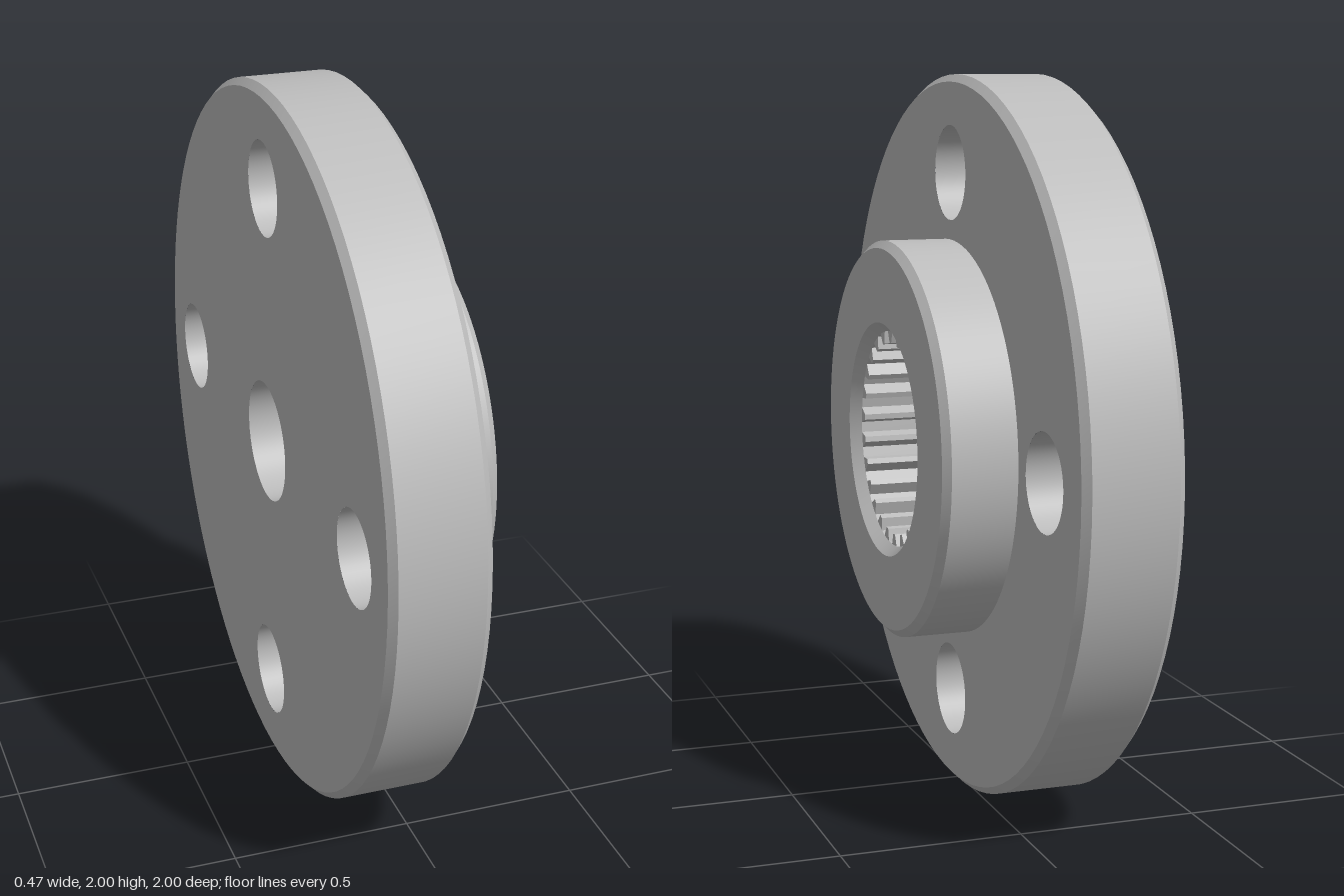
import * as THREE from 'three';
import { toCreasedNormals } from 'three/addons/utils/BufferGeometryUtils.js';

const BACK = -0.24, FACE = 0.03, FLOOR = -0.07, TOP = 0.23;
const BORE = 0.17, BOLT = 0.13, BOLT_CIRCLE = 0.733, HUB = 0.55, BEVEL = 0.02;
const TEETH = 26;

export function createModel() {
  const steel = new THREE.MeshStandardMaterial({ color: 0xbcbcbc });
  steel.name = 'steel grey';

  // Everything is built along z, then turned so that the hub points to +x
  const hubFlange = new THREE.Group();
  hubFlange.name = 'splinedFlange';
  const add = (name, geometry) => {
    const mesh = new THREE.Mesh(geometry, steel);
    mesh.name = name;
    hubFlange.add(mesh);
    return mesh;
  };

  // Turned surface from [radius, z] points
  const turned = (points, segments = 96) => toCreasedNormals(
    new THREE.LatheGeometry(points.map(([r, z]) => new THREE.Vector2(r, z)), segments)
      .rotateX(Math.PI / 2), 0.5);

  const circle = (r, x = 0, y = 0) => new THREE.Path().absarc(x, y, r, 0, Math.PI * 2, true);
  const bolts = [0, 1, 2, 3].map(i => {
    const a = i * Math.PI / 2;
    return [BOLT_CIRCLE * Math.cos(a), BOLT_CIRCLE * Math.sin(a)];
  });

  // Flat flange face with a centre opening and four bolt holes
  const plate = centreRadius => {
    const shape = new THREE.Shape().absarc(0, 0, 1 - BEVEL, 0, Math.PI * 2, false);
    shape.holes.push(circle(centreRadius), ...bolts.map(([x, y]) => circle(BOLT, x, y)));
    return new THREE.ShapeGeometry(shape, 48);
  };
  add('flangeFrontFace', plate(HUB)).position.z = FACE;
  add('flangeBackFace', plate(BORE).rotateY(Math.PI)).position.z = BACK;

  // Bevelled outer rim
  add('flangeRim', turned([
    [1 - BEVEL, BACK], [1, BACK + BEVEL], [1, FACE - BEVEL], [1 - BEVEL, FACE]]));

  // Bolt hole walls
  bolts.forEach(([x, y]) => {
    add('boltHole', turned([[BOLT, FACE], [BOLT, BACK]], 48)).position.set(x, y, 0);
  });

  // Raised hub with a countersunk mouth
  add('hub', turned([
    [HUB, FACE], [HUB, TOP - BEVEL], [HUB - BEVEL, TOP], [0.325, TOP], [0.3, TOP - 0.03]]));

  // Ring of internal spline teeth
  const ring = new THREE.Shape().absarc(0, 0, 0.32, 0, Math.PI * 2, false);
  const outline = [];
  for (let i = 0; i < TEETH; i++) {
    for (const [t, r] of [[0, 0.302], [0.4, 0.302], [0.58, 0.268], [0.82, 0.268]]) {
      const a = (i + t) / TEETH * Math.PI * 2;
      outline.push(new THREE.Vector2(r * Math.cos(a), r * Math.sin(a)));
    }
  }
  ring.holes.push(new THREE.Path(outline.reverse()));
  add('splineTeeth', new THREE.ExtrudeGeometry(ring, {
    depth: TOP - 0.03 - FLOOR, bevelEnabled: false, curveSegments: 48,
  })).position.z = FLOOR;

  // Socket floor and through bore
  add('socketFloorAndBore', turned([[0.31, FLOOR], [BORE, FLOOR], [BORE, BACK]], 64));

  hubFlange.rotation.y = Math.PI / 2;
  hubFlange.position.y = 1;
  const model = new THREE.Group();
  model.name = 'flangeCoupling';
  model.add(hubFlange);
  return model;
}
